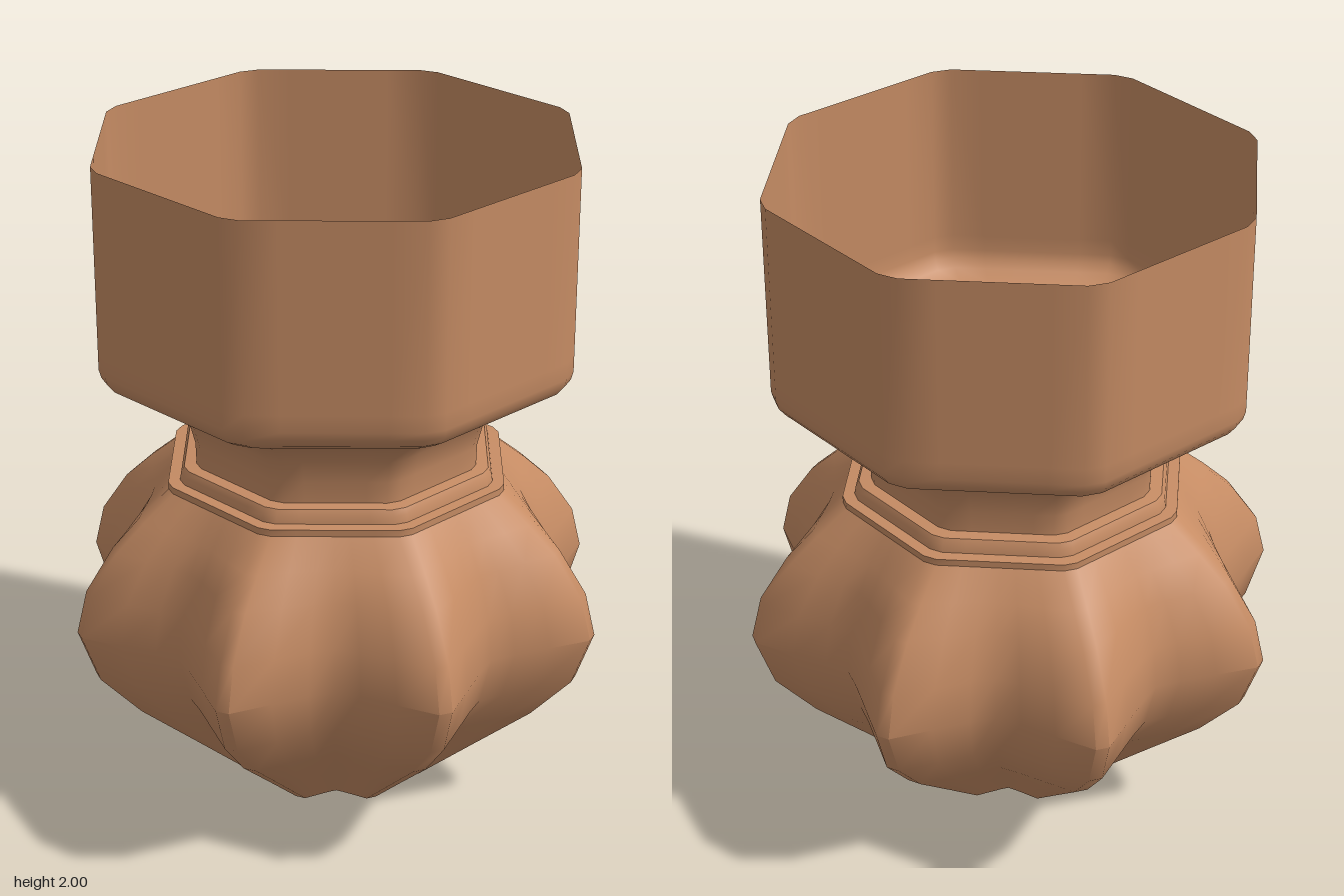
import * as THREE from 'three';
import { toCreasedNormals } from 'three/addons/utils/BufferGeometryUtils.js';

const SIDES = 8;
const HALF = Math.PI / SIDES;

// Eight-pointed outline: r = corner radius, w = half width of the blunt corner,
// k = valley depth (1 gives a plain octagon, less gives a fluted star)
function outline(r, w, k) {
  const valley = (r * Math.cos(HALF) + w * Math.sin(HALF)) * k;
  const vx = valley * Math.cos(HALF), vy = valley * Math.sin(HALF);
  const soft = k < 1 ? 0.93 : 1;
  const half = [0, 0.4, 0.75, soft].map(t => [r + (vx - r) * t, w + (vy - w) * t]);
  // the valley point stays on the mirror line between two corners
  half[3] = [vx + (1 - soft) * 0.1 * r, vy + (1 - soft) * 0.1 * r * Math.tan(HALF)];
  const mirrored = half.slice(0, 3).reverse().map(([x, y]) => [x, -y]);
  const points = [];
  for (let i = 0; i < SIDES; i++) {
    const turn = (a, [x, y]) => [x * Math.cos(a) - y * Math.sin(a), x * Math.sin(a) + y * Math.cos(a)];
    half.forEach(p => points.push(turn(i * 2 * HALF, p)));
    mirrored.forEach(p => points.push(turn((i + 1) * 2 * HALF, p)));
  }
  return points;
}

// Skin a stack of outlines given as [y, r, w, k]
function loft(levels, crease) {
  const positions = [], index = [];
  let n = 0;
  levels.forEach(([y, r, w, k = 1]) => {
    const ring = outline(r, w, k);
    n = ring.length;
    ring.forEach(([x, z]) => positions.push(x, y, z));
  });
  for (let j = 0; j < levels.length - 1; j++) {
    for (let i = 0; i < n; i++) {
      const a = j * n + i, b = j * n + (i + 1) % n;
      index.push(a, a + n, b, b, a + n, b + n);
    }
  }
  const geometry = new THREE.BufferGeometry();
  geometry.setAttribute('position', new THREE.Float32BufferAttribute(positions, 3));
  geometry.setIndex(index);
  return toCreasedNormals(geometry, crease);
}

export function createModel() {
  const group = new THREE.Group();
  group.name = 'vase';
  const clay = new THREE.MeshStandardMaterial({ color: 0xc68c64, side: THREE.DoubleSide });
  clay.name = 'clay';

  const add = (name, geometry) => {
    const mesh = new THREE.Mesh(geometry, clay);
    mesh.name = name;
    group.add(mesh);
  };

  // Flat star-shaped base
  const base = [0, 0.28, 0.015, 0.82];
  const star = new THREE.Shape(outline(...base.slice(1)).map(([x, z]) => new THREE.Vector2(x, z)));
  add('base', new THREE.ShapeGeometry(star).rotateX(Math.PI / 2));

  // Fluted belly
  add('belly', loft([
    base,
    [0.15, 0.457, 0.017, 0.825],
    [0.3, 0.635, 0.02, 0.83],
    [0.434, 0.757, 0.02, 0.83],
    [0.585, 0.81, 0.02, 0.83],
    [0.714, 0.778, 0.02, 0.845],
    [0.84, 0.693, 0.02, 0.89],
    [0.92, 0.61, 0.02, 0.94],
    [1.0, 0.515, 0.02, 1],
  ], 0.9));

  // Stepped collar
  add('collar', loft([
    [1.0, 0.518, 0.02], [1.02, 0.518, 0.02],
    [1.022, 0.482, 0.02], [1.045, 0.478, 0.02],
    [1.062, 0.468, 0.02], [1.065, 0.43, 0.02],
  ], 0.7));

  // Neck flaring into the open octagonal bowl
  add('neckAndBowl', loft([
    [1.065, 0.43, 0.02], [1.13, 0.432, 0.02], [1.2, 0.45, 0.02],
    [1.255, 0.495, 0.022], [1.29, 0.55, 0.024], [1.325, 0.64, 0.027],
    [1.35, 0.683, 0.029], [1.375, 0.703, 0.03], [1.4, 0.71, 0.03],
    [1.45, 0.71, 0.03], [2.0, 0.71, 0.03],
  ], 0.9));

  return group;
}
